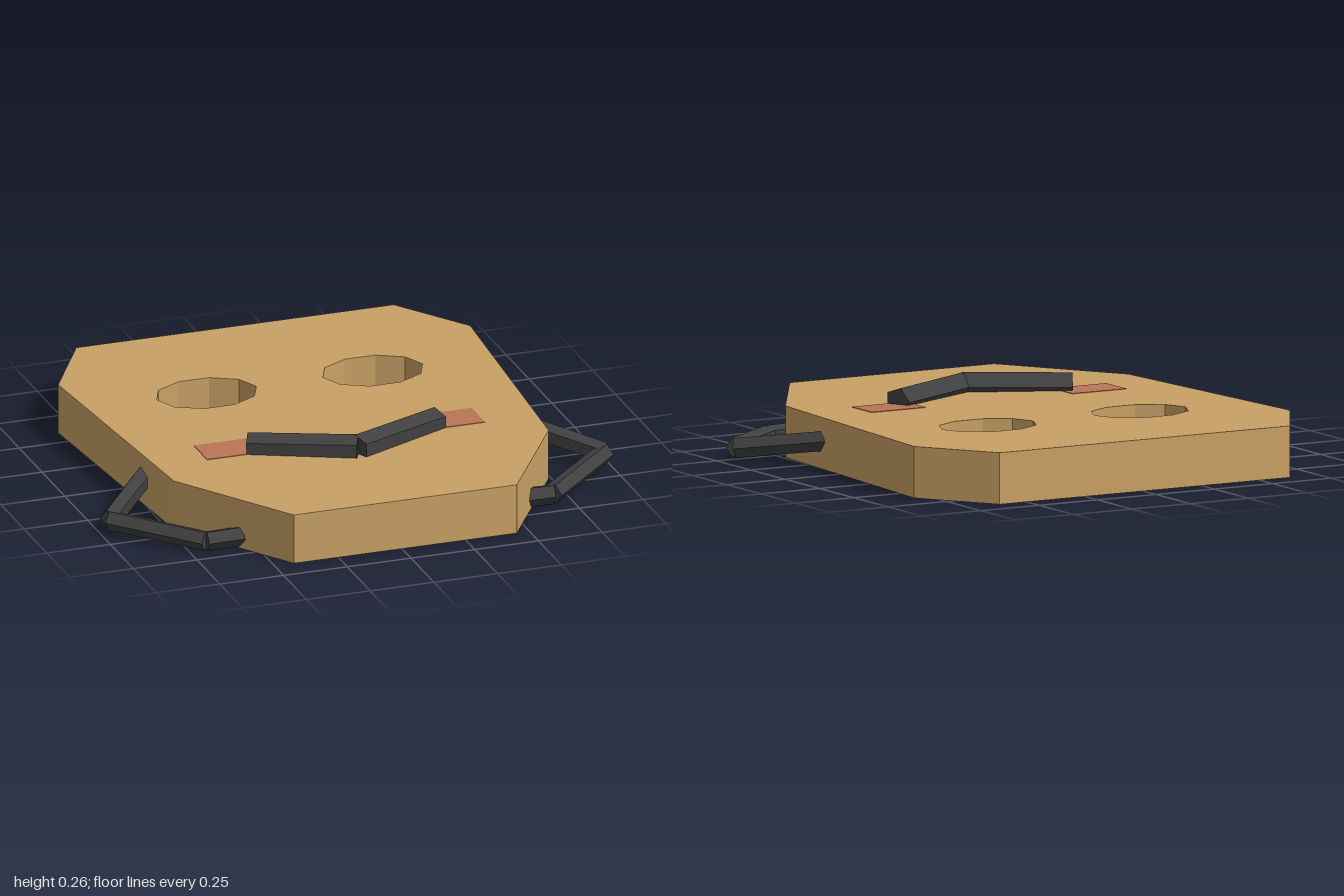
import * as THREE from 'three';

const wood = new THREE.MeshStandardMaterial({ color: 0xc8a165 });
wood.name = 'cardboard tan';
const charcoal = new THREE.MeshStandardMaterial({ color: 0x404040 });
charcoal.name = 'charcoal';
const blush = new THREE.MeshStandardMaterial({ color: 0xb97557 });
blush.name = 'blush red';

const THICK = 0.193;

// Five-sided straight rod from a to b, with one ridge pointing along `ridge`
function rod(name, a, b, radius, ridge) {
  const start = new THREE.Vector3(...a), end = new THREE.Vector3(...b);
  const axis = end.clone().sub(start);
  const length = axis.length();
  axis.normalize();
  const out = new THREE.Vector3(...ridge);
  out.addScaledVector(axis, -out.dot(axis)).normalize();
  const side = axis.clone().cross(out);
  const geo = new THREE.CylinderGeometry(radius, radius, length, 5).toNonIndexed();
  geo.computeVertexNormals();
  geo.applyMatrix4(new THREE.Matrix4().makeBasis(side, axis, out));
  const mesh = new THREE.Mesh(geo, charcoal);
  mesh.position.copy(start).add(end).multiplyScalar(0.5);
  mesh.name = name;
  return mesh;
}

// Thick face plate with two ten-sided eye holes
function facePlate() {
  const outline = [
    [-0.63, -0.908], [0.615, -0.908], [0.812, -0.62], [0.74, 0.44],
    [0.45, 0.902], [-0.425, 0.902], [-0.73, 0.44], [-0.815, -0.59],
  ];
  const shape = new THREE.Shape(outline.map(([x, z]) => new THREE.Vector2(x, z)));
  for (const cx of [-0.327, 0.325]) {
    const eye = [];
    for (let i = 0; i < 10; i++) {
      const t = (i / 10) * Math.PI * 2;
      eye.push(new THREE.Vector2(cx + 0.195 * Math.cos(t), -0.328 - 0.146 * Math.sin(t)));
    }
    shape.holes.push(new THREE.Path(eye));
  }
  const geo = new THREE.ExtrudeGeometry(shape, { depth: THICK, bevelEnabled: false });
  geo.rotateX(Math.PI / 2).translate(0, THICK, 0);
  const mesh = new THREE.Mesh(geo, wood);
  mesh.name = 'facePlate';
  return mesh;
}

export function createModel() {
  const model = new THREE.Group();
  model.name = 'face';
  model.add(facePlate());

  const mouth = new THREE.Group();
  mouth.name = 'mouth';
  model.add(mouth);

  for (const s of [1, -1]) {
    const label = s > 0 ? 'left' : 'right';

    // Mouth half: flat side forward, ridge backward
    mouth.add(rod(label + 'MouthHalf', [0, 0.213, 0.42], [s * 0.373, 0.206, 0.248], 0.054, [0, 0, -1]));

    // Painted cheek
    const cheek = new THREE.Mesh(new THREE.BoxGeometry(0.23, 0.004, 0.146), blush);
    cheek.position.set(s * 0.43, THICK, 0.215);
    cheek.name = label + 'Cheek';
    model.add(cheek);

    // Ear made of three bent rods
    const ear = new THREE.Group();
    ear.name = label + 'Ear';
    const bendX = s > 0 ? 0.67 : 0.69;
    const path = [
      [s * 0.735, 0.105, 0.14], [s * 0.97, 0.06, 0.41],
      [s * bendX, 0.043, 0.682], [s * (s > 0 ? 0.565 : 0.55), 0.045, 0.682],
    ];
    const ridges = [[s, 0, -0.8], [s, 0, 1], [0, 0, 1]];
    ridges.forEach((ridge, i) => {
      ear.add(rod(label + 'EarRod' + (i + 1), path[i], path[i + 1], 0.039, ridge));
    });
    model.add(ear);
  }
  return model;
}
